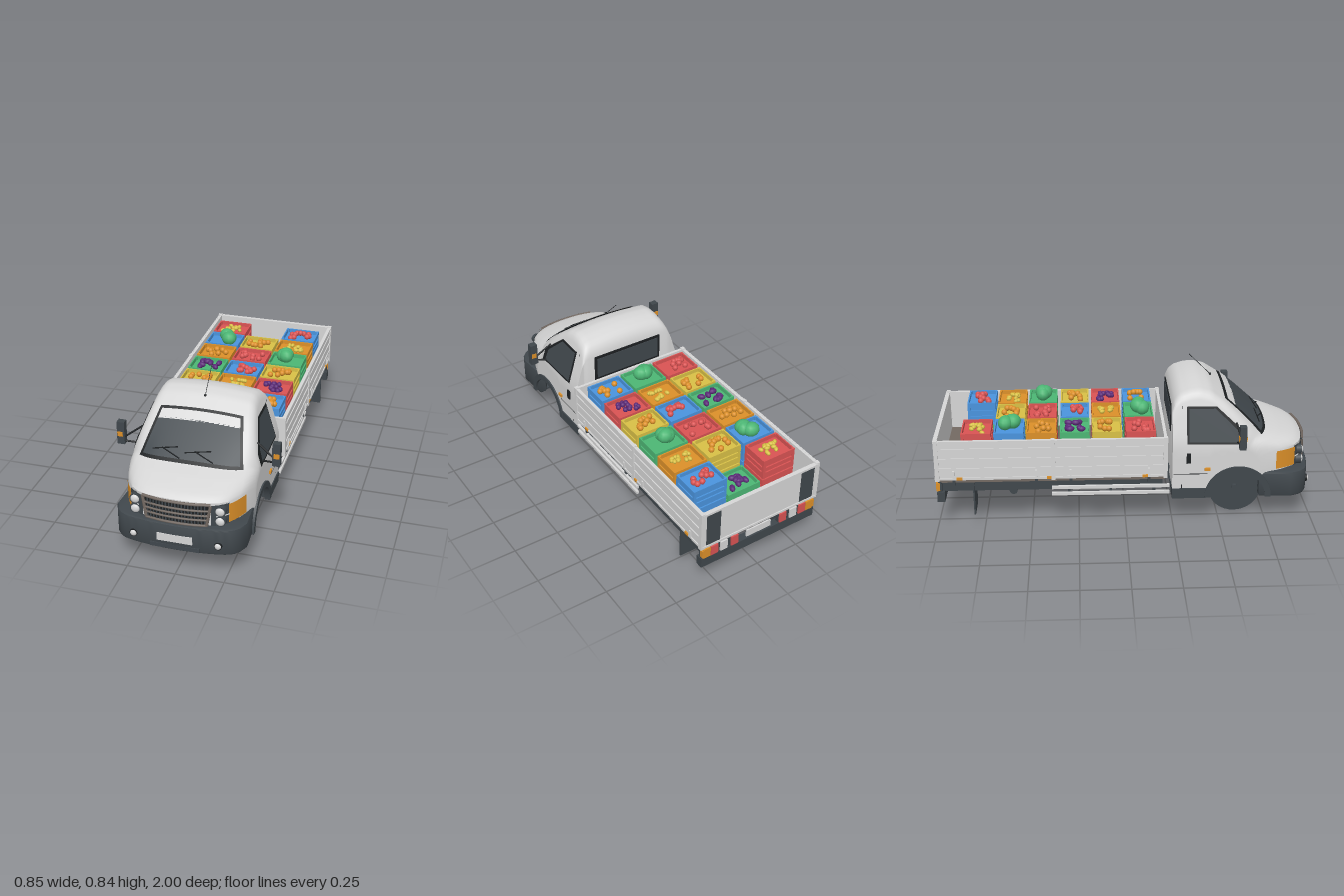
import * as THREE from 'three';
import { toCreasedNormals } from 'three/addons/utils/BufferGeometryUtils.js';

const mat = (name, color, side = THREE.FrontSide) => {
  const m = new THREE.MeshStandardMaterial({ color, side });
  m.name = name;
  return m;
};
const M = {
  paint: mat('light grey paint', 0xd6d6d6, THREE.DoubleSide),
  dark: mat('dark grey plastic', 0x40474c, THREE.DoubleSide),
  black: mat('black trim', 0x1d2022, THREE.DoubleSide),
  brown: mat('brown floor', 0x736962),
  red: mat('red', 0xd95353), orange: mat('orange', 0xdc9029), yellow: mat('yellow', 0xd8c046),
  green: mat('green', 0x4cb674), blue: mat('blue', 0x4a94de), purple: mat('purple', 0x5c2a78),
};
const { lerp, clamp } = THREE.MathUtils;
const SIDES = [-1, 1];

let root;
const add = (name, geo, m, x = 0, y = 0, z = 0, parent = root) => {
  const mesh = new THREE.Mesh(geo, m);
  mesh.name = name;
  mesh.position.set(x, y, z);
  parent.add(mesh);
  return mesh;
};
const box = (name, m, w, h, d, x, y, z, parent) => add(name, new THREE.BoxGeometry(w, h, d), m, x, y, z, parent);
const rod = (name, m, a, b, r, sides = 10) => {
  const p = new THREE.Vector3(...a), q = new THREE.Vector3(...b), dir = q.clone().sub(p);
  const mesh = add(name, new THREE.CylinderGeometry(r, r, dir.length(), sides), m);
  mesh.position.copy(p.add(q).multiplyScalar(0.5));
  mesh.quaternion.setFromUnitVectors(new THREE.Vector3(0, 1, 0), dir.normalize());
};
// Grid whose vertices follow fn(u, v) -> [x, y, z]
const surface = (fn, nu, nv) => {
  const g = new THREE.PlaneGeometry(1, 1, nu, nv), p = g.attributes.position;
  for (let i = 0; i < p.count; i++) p.setXYZ(i, ...fn(p.getX(i) + 0.5, p.getY(i) + 0.5));
  g.computeVertexNormals();
  return g;
};

// Cab shape rules: roof line, side wall, plan curvature of the nose, lower edge
const ROOF = [[.245, .645], [.262, .69], [.29, .715], [.34, .733], [.39, .738], [.45, .723], [.53, .668],
  [.64, .578], [.75, .487], [.83, .467], [.9, .445], [.94, .43], [.965, .412]];
const roofY = (z) => {
  let i = 0;
  while (i < ROOF.length - 2 && z > ROOF[i + 1][0]) i++;
  const [a, b] = [ROOF[i], ROOF[i + 1]];
  return lerp(a[1], b[1], clamp((z - a[0]) / (b[0] - a[0]), 0, 1));
};
const wallX = (y) => 0.33 - 0.3 * Math.max(0, y - 0.45);
const curve = (x) => 0.6 * x * x + 150 * x ** 6;
const bentZ = (x, z) => z - curve(x) * clamp((z - 0.5) / 0.46, 0, 1) ** 1.5;
const bumperCurve = (x) => 0.4 * x * x + 5.3e5 * x ** 14;
const WHEEL_Z = 0.595;
const lowerY = (z) => Math.max(z > WHEEL_Z ? 0.27 : 0.2, 0.145 + Math.sqrt(Math.max(0, 0.027 - (z - WHEEL_Z) ** 2)));
const crownY = (x, z) => { const T = roofY(z); return T - 0.012 * (x / (wallX(T) - 0.045)) ** 2; };

function cabPoint(t, z) { // t: 0 at the sill, 1 on the centre line
  const T = roofY(z), shoulder = T - 0.06, inner = wallX(T) - 0.045;
  if (t <= 0.4) {
    const y = lerp(lowerY(bentZ(0.33, z)), shoulder, t / 0.4);
    return [wallX(y), y];
  }
  if (t < 0.65) {
    const k = (t - 0.4) / 0.25, a = (1 - k) ** 2, b = 2 * k * (1 - k), c = k * k;
    return [a * wallX(shoulder) + b * (wallX(T) + 0.004) + c * inner, a * shoulder + b * (T - 0.012) + c * (T - 0.012)];
  }
  const x = inner * (1 - t) / 0.35;
  return [x, crownY(x, z)];
}

function buildCab() {
  const rows = 50;
  const shell = surface((u, v) => {
    const i = Math.round(v * rows), z = lerp(0.245, 0.965, clamp((i - 1) / (rows - 2), 0, 1));
    const [x, y] = cabPoint(1 - Math.abs(2 * u - 1), z);
    const capY = i === 0 ? 0.2 : i === rows ? 0.27 : y; // end rows close the rear wall and nose
    return [u < 0.5 ? x : -x, capY, bentZ(x, z)];
  }, 40, rows);
  add('cabShell', toCreasedNormals(shell, 0.6), M.paint);
  box('cabFloor', M.paint, 0.64, 0.012, 0.18, 0, 0.206, 0.34);
  box('cabFloorFront', M.paint, 0.32, 0.012, 0.4, 0, 0.206, 0.63);

  // Windscreen: frame, glass, bright upper band, wipers
  const screen = (name, m, w0, z0, w1, z1, lift) => add(name, surface((u, v) => {
    const z = lerp(z0, z1, v), x = (u * 2 - 1) * lerp(w0, w1, v);
    return [x, crownY(x, z) + lift, bentZ(x, z) + lift * 0.8];
  }, 16, 8), m);
  screen('windscreenFrame', M.black, 0.268, 0.757, 0.215, 0.523, 0.004);
  screen('windscreenGlass', M.dark, 0.25, 0.74, 0.212, 0.575, 0.007);
  screen('windscreenTopBand', M.paint, 0.213, 0.58, 0.204, 0.537, 0.007);
  const onScreen = (x, z) => [x, crownY(x, z) + 0.014, bentZ(x, z) + 0.01];
  for (const x of [-0.2, -0.03]) {
    rod('wiperBlade', M.black, onScreen(x, 0.715), onScreen(x + 0.13, 0.695), 0.003, 6);
    rod('wiperArm', M.black, onScreen(x + 0.15, 0.74), onScreen(x + 0.05, 0.705), 0.003, 6);
  }

  // Nose: grille, headlamps, indicators
  const nose = (name, m, x0, x1, y0, y1, lift) => add(name, surface((u, v) => {
    const x = lerp(x0, x1, u);
    return [x, lerp(y0, y1, v), bentZ(x, 0.965) + lift];
  }, 12, 1), m);
  nose('grilleBack', M.black, -0.16, 0.16, 0.285, 0.405, 0.006);
  const noseRod = (name, m, a, b, r) => {
    const pts = [0, .25, .5, .75, 1].map((t) => {
      const x = lerp(a[0], b[0], t);
      return new THREE.Vector3(x, lerp(a[1], b[1], t), bentZ(x, 0.965) + 0.011);
    });
    add(name, new THREE.TubeGeometry(new THREE.CatmullRomCurve3(pts), 10, r, 6), m);
  };
  noseRod('grilleTop', M.brown, [-0.172, 0.405], [0.172, 0.405], 0.008);
  noseRod('grilleBottom', M.brown, [-0.152, 0.288], [0.152, 0.288], 0.007);
  for (const y of [0.318, 0.343, 0.37]) noseRod('grilleBar', M.brown, [-0.16, y], [0.16, y], 0.006);
  for (let i = -9; i <= 9; i++) box('grilleSlat', M.dark, 0.006, 0.11, 0.006, i * 0.016, 0.345, bentZ(i * 0.016, 0.965) + 0.008);
  for (const s of SIDES) {
    noseRod('grilleSide', M.brown, [s * 0.152, 0.288], [s * 0.172, 0.405], 0.008);
    const [a, b] = s > 0 ? [0.172, 0.25] : [-0.25, -0.172];
    nose('headlampPanel', M.dark, a, b, 0.285, 0.4, 0.008);
    const [c, d] = s > 0 ? [0.248, 0.306] : [-0.306, -0.248];
    nose('indicator', M.orange, c, d, 0.292, 0.395, 0.012);
    noseRod('headlampDivider', M.paint, [s * 0.195, 0.338], [s * 0.25, 0.338], 0.003);
    for (const y of [0.367, 0.312]) {
      const z = bentZ(0.215, 0.965) + 0.012;
      rod('headlampRim', M.dark, [s * 0.215, y, z - 0.02], [s * 0.215, y, z + 0.01], 0.028, 20);
      add('headlamp', new THREE.SphereGeometry(0.023, 16, 10), M.paint, s * 0.215, y, z + 0.008).scale.z = 0.6;
    }
  }

  // Bumper with a broad front and tight corners
  const xs = Array.from({ length: 33 }, (_, i) => lerp(-0.322, 0.322, i / 32));
  const front = xs.map((x) => new THREE.Vector2(x, 0.986 - bumperCurve(x)));
  const back = xs.map((x) => new THREE.Vector2(x * 0.97, Math.abs(x) > 0.29 ? 0.72 : 0.87 - curve(x))).reverse();
  const bumper = new THREE.ExtrudeGeometry(new THREE.Shape([...front, ...back]),
    { depth: 0.12, bevelEnabled: true, bevelSize: 0.012, bevelThickness: 0.012, bevelSegments: 2 });
  add('frontBumper', toCreasedNormals(bumper.rotateX(Math.PI / 2), 0.7), M.dark, 0, 0.272, 0);
  box('bumperUndertray', M.dark, 0.6, 0.012, 0.16, 0, 0.15, 0.8);
  box('frontPlate', M.paint, 0.18, 0.042, 0.008, 0, 0.21, 0.996);
  box('lowerIntake', M.dark, 0.25, 0.022, 0.01, 0, 0.16, 0.994);
  for (const s of SIDES) {
    rod('fogLampRim', M.black, [s * 0.215, 0.195, 0.96], [s * 0.215, 0.195, 0.985], 0.02, 18);
    add('fogLamp', new THREE.SphereGeometry(0.017, 14, 8), M.paint, s * 0.215, 0.195, 0.983).scale.z = 0.7;
  }

  // Doors, windows, mirrors, wheel arches
  const sidePlate = (name, m, s, pts, lift) => {
    const g = new THREE.ShapeGeometry(new THREE.Shape(pts.map((p) => new THREE.Vector2(...p))));
    const p = g.attributes.position;
    for (let i = 0; i < p.count; i++) p.setXYZ(i, s * (wallX(p.getY(i)) + lift), p.getY(i), p.getX(i));
    g.computeVertexNormals();
    add(name, g, m);
  };
  for (const s of SIDES) {
    sidePlate('doorWindowFrame', M.black, s, [[.625, .45], [.62, .515], [.475, .645], [.32, .645], [.32, .455]], 0.004);
    sidePlate('doorWindowGlass', M.dark, s, [[.595, .462], [.585, .525], [.47, .634], [.331, .634], [.331, .466]], 0.007);
    sidePlate('doorSeam', M.black, s, [[.293, .2], [.297, .2], [.297, .65], [.293, .65]], 0.003);
    sidePlate('sideMoulding', M.black, s, [[.25, .282], [.43, .282], [.43, .286], [.25, .286]], 0.003);
    box('doorHandle', M.black, 0.012, 0.055, 0.022, s * 0.333, 0.375, 0.33);
    box('sideRepeater', M.orange, 0.012, 0.016, 0.03, s * 0.333, 0.31, 0.43);
    box('cabStep', M.dark, 0.09, 0.055, 0.18, s * 0.29, 0.17, 0.335);
    box('mirror', M.dark, 0.04, 0.125, 0.035, s * 0.405, 0.522, 0.6);
    box('mirrorIndicator', M.orange, 0.028, 0.026, 0.042, s * 0.408, 0.517, 0.6);
    rod('mirrorArm', M.black, [s * 0.3, 0.56, 0.58], [s * 0.39, 0.495, 0.6], 0.005);
    rod('mirrorArm', M.black, [s * 0.31, 0.46, 0.58], [s * 0.39, 0.472, 0.6], 0.005);

    const arch = new THREE.Shape();
    arch.absarc(0, 0, 0.178, 0, Math.PI, false);
    arch.absarc(0, 0, 0.146, Math.PI, 0, true);
    const ring = new THREE.ExtrudeGeometry(arch, { depth: 0.03, bevelEnabled: false, curveSegments: 24 });
    add('wheelArch', ring.rotateY(-Math.PI / 2), M.dark, s > 0 ? 0.338 : -0.308, 0.145, WHEEL_Z);
    const liner = new THREE.CylinderGeometry(0.165, 0.165, 0.17, 24, 1, true, 0, Math.PI).rotateZ(Math.PI / 2);
    add('wheelWell', liner, M.dark, s * 0.245, 0.145, WHEEL_Z);
    rod('frontWheel', M.dark, [s * 0.18, 0.145, WHEEL_Z], [s * 0.205, 0.145, WHEEL_Z], 0.145, 36);
    rod('wheelHub', M.dark, [s * 0.2, 0.145, WHEEL_Z], [s * 0.225, 0.145, WHEEL_Z], 0.016, 14);
  }
  rod('frontAxle', M.dark, [-0.19, 0.145, WHEEL_Z], [0.19, 0.145, WHEEL_Z], 0.014);
  box('rearWindowFrame', M.black, 0.42, 0.15, 0.008, 0, 0.555, 0.244);
  box('rearWindowGlass', M.dark, 0.39, 0.12, 0.008, 0, 0.555, 0.241);
  rod('aerial', M.black, [0, 0.72, 0.47], [0, 0.837, 0.352], 0.0015, 6);
  add('aerialBase', new THREE.SphereGeometry(0.007, 10, 8), M.black, 0, 0.722, 0.468);
}

function buildBed() {
  box('bedFloor', M.brown, 0.69, 0.02, 1.19, 0, 0.275, -0.39);
  box('headboard', M.paint, 0.7, 0.22, 0.016, 0, 0.393, 0.207);
  box('tailgate', M.paint, 0.7, 0.22, 0.016, 0, 0.393, -0.985);
  for (const y of [0.289, 0.497]) box('tailgateRail', M.paint, 0.7, 0.012, 0.006, 0, y, -0.996);
  for (const s of SIDES) {
    box('tailgatePanel', M.dark, 0.08, 0.19, 0.006, s * 0.286, 0.393, -0.994);
    for (const [z0, z1] of [[0.2, -0.37], [-0.39, -0.98]]) {
      const mid = (z0 + z1) / 2, len = z0 - z1;
      box('sideBoard', M.paint, 0.014, 0.22, len, s * 0.345, 0.393, mid);
      for (const y of [0.29, 0.345, 0.4, 0.455, 0.497]) box('sideRib', M.paint, 0.006, 0.013, len, s * 0.354, y, mid);
      for (const z of [z0 - 0.08, z1 + 0.08]) {
        box('latch', M.paint, 0.01, 0.04, 0.01, s * 0.356, 0.315, z);
        box('hinge', M.dark, 0.02, 0.035, 0.016, s * 0.34, 0.268, z);
      }
    }
    for (const z of [0.207, -0.38, -0.985]) box('sidePost', M.paint, 0.022, 0.23, 0.022, s * 0.348, 0.392, z);
    for (const z of [0.1, -0.4, -0.87]) box('reflector', M.orange, 0.008, 0.014, 0.03, s * 0.355, 0.29, z);
  }
}

function buildChassis() {
  for (const s of SIDES) {
    box('chassisRail', M.dark, 0.035, 0.075, 1.2, s * 0.12, 0.205, -0.355);
    box('floorBeam', M.dark, 0.03, 0.06, 1.17, s * 0.31, 0.237, -0.39);
    for (const y of [0.185, 0.222]) box('sideGuard', M.paint, 0.014, 0.016, 0.62, s * 0.335, y, -0.08);
    for (const z of [0.15, -0.08, -0.3]) box('guardBracket', M.dark, 0.02, 0.1, 0.015, s * 0.32, 0.225, z);
    box('mudFlap', M.dark, 0.145, 0.19, 0.008, s * 0.272, 0.17, -0.8);
    box('tailLampBase', M.dark, 0.22, 0.062, 0.02, s * 0.235, 0.238, -0.975);
    [[M.orange, 0.318], [M.red, 0.272], [M.paint, 0.215], [M.red, 0.15]].forEach(([m, x]) =>
      box('tailLamp', m, 0.042, 0.056, 0.012, s * x, 0.239, -0.988));
    box('sideMarker', M.orange, 0.012, 0.045, 0.02, s * 0.342, 0.242, -0.985);
  }
  for (let i = 0; i < 8; i++) box('crossBeam', M.dark, 0.66, 0.025, 0.03, 0, 0.253, 0.16 - i * 0.155);
  for (const z of [0.22, -0.1, -0.45, -0.85]) box('crossMember', M.dark, 0.24, 0.05, 0.04, 0, 0.205, z);
  box('rearBumper', M.dark, 0.7, 0.055, 0.04, 0, 0.182, -0.972);
  box('rearPlate', M.paint, 0.15, 0.04, 0.008, 0, 0.238, -0.985);
  box('frontCrossBar', M.dark, 0.58, 0.012, 0.02, 0, 0.131, 0.26);
  box('batteryBox', M.paint, 0.14, 0.085, 0.25, 0.22, 0.182, -0.19);
  rod('rearAxle', M.dark, [-0.22, 0.15, -0.6], [0.22, 0.15, -0.6], 0.022, 14);
  rod('differential', M.dark, [0, 0.143, -0.55], [0, 0.143, -0.65], 0.045, 20);
  rod('driveShaft', M.dark, [0, 0.17, 0.2], [0, 0.15, -0.57], 0.014);
  rod('muffler', M.paint, [-0.2, 0.17, -0.05], [-0.2, 0.17, -0.28], 0.03, 16);
  rod('exhaustPipe', M.paint, [-0.2, 0.17, 0.15], [-0.2, 0.17, -0.5], 0.01);
  rod('spareWheel', M.dark, [0, 0.17, -0.79], [0, 0.21, -0.79], 0.1, 28);
}

function buildCargo() {
  let seed = 7;
  const rand = () => (seed = (seed * 16807) % 2147483647) / 2147483647;
  const ball = new THREE.SphereGeometry(1, 12, 8);
  const W = 0.195, D = 0.155, H = 0.116;
  const crate = (m, x, y, z) => {
    const g = new THREE.Group();
    g.name = 'crate';
    g.position.set(x, y, z);
    root.add(g);
    box('crateFill', m, W - 0.018, 0.08, D - 0.016, 0, 0.055, 0, g);
    for (const s of SIDES) {
      for (const t of SIDES) box('cratePost', m, 0.014, H, 0.014, s * (W / 2 - 0.007), H / 2, t * (D / 2 - 0.007), g);
      for (const [sy, h] of [[0.02, 0.036], [0.06, 0.02], [0.102, 0.028]]) {
        box('crateSlat', m, W, h, 0.007, 0, sy, s * (D / 2 - 0.0035), g);
        box('crateSlat', m, 0.007, h, D, s * (W / 2 - 0.0035), sy, 0, g);
      }
    }
  };
  // Produce kinds: material, count, radius, stretch, spread in x and z
  const KIND = {
    melon: [M.green, 3, 0.039, 1.15, 0.075, 0.055], aubergine: [M.purple, 9, 0.015, 1.5, 0.11, 0.08],
    apple: [M.red, 10, 0.016, 1, 0.12, 0.075], citrus: [M.orange, 9, 0.016, 1, 0.12, 0.075],
    lemon: [M.yellow, 12, 0.011, 1.4, 0.11, 0.075], plum: [M.purple, 13, 0.014, 1, 0.1, 0.08],
  };
  const GRID = [
    [-.78, 'red lemon', 'green aubergine', 'blue apple'], [-.61, 'blue melon', 'yellow citrus', 'orange lemon'],
    [-.44, 'orange citrus', 'red apple', 'green melon'], [-.265, 'green aubergine', 'blue apple', 'yellow citrus'],
    [-.095, 'yellow citrus', 'orange lemon', 'red plum'], [.08, 'red apple', 'green melon', 'blue citrus'],
  ];
  GRID.forEach(([z, ...cols], row) => cols.forEach((entry, col) => {
    const [colour, kind] = entry.split(' '), x = (col - 1) * 0.21;
    const single = row === 0 && col === 1; // one slot holds a single layer
    crate(M[colour], x, 0.286, z);
    if (!single) crate(M[colour], x, 0.408, z);
    const [m, count, r, stretch, sx, sz] = KIND[kind], top = (single ? 0.286 : 0.408) + 0.095;
    for (let i = 0; i < count; i++) {
      const dx = rand() - 0.5, dz = rand() - 0.5;
      const pile = 0.022 * (1 - Math.max(Math.abs(dx), Math.abs(dz)) * 2); // heaped towards the middle
      const fruit = add(kind, ball, m, x + dx * sx, top + r * 0.8 + pile, z + dz * sz);
      fruit.scale.set(r * stretch, r, r);
      fruit.rotation.y = rand() * Math.PI;
    }
  }));
}

export function createModel() {
  root = new THREE.Group();
  root.name = 'produceTruck';
  buildCab();
  buildBed();
  buildChassis();
  buildCargo();
  return root;
}
